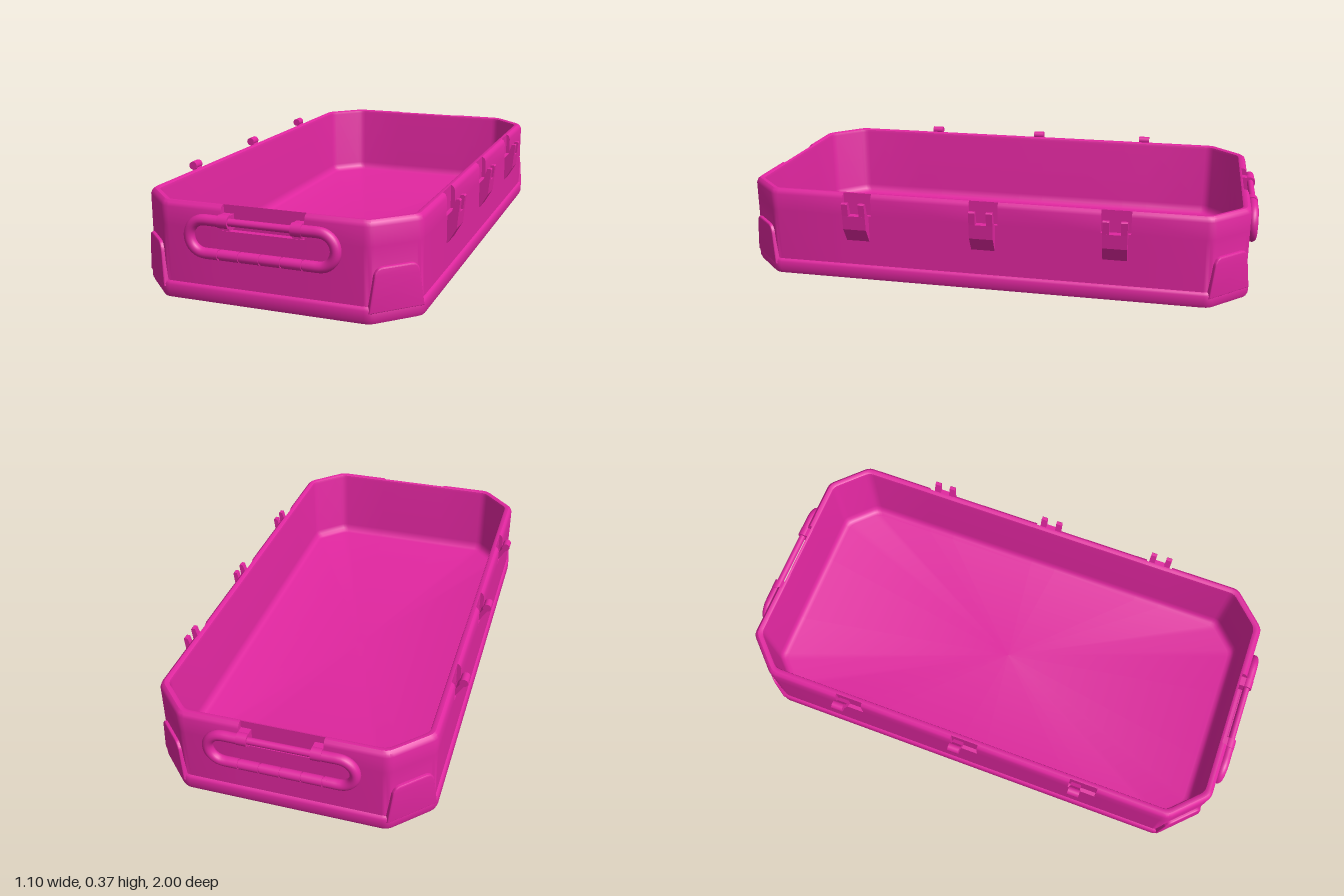
import * as THREE from 'three';
import { toCreasedNormals } from 'three/addons/utils/BufferGeometryUtils.js';

const mat = new THREE.MeshStandardMaterial({ color: 0xe0269f });
const HALF_X = 0.505, HALF_Z = 0.965, CHAMFER = 0.135;
const LATCH_Z = [0.49, 0, -0.49];

function add(parent, name, geo, x = 0, y = 0, z = 0) {
  const m = new THREE.Mesh(geo, mat);
  m.name = name;
  m.position.set(x, y, z);
  parent.add(m);
  return m;
}

// Octagon outline (counter-clockwise from above), with shallow pockets for handles and latches
function outline(inset, pocket) {
  const a = HALF_X - inset, b = HALF_Z - inset, c = CHAMFER - inset * 0.586;
  const px = pocket ? Math.min(a, 0.49) : a;
  const pz = pocket ? Math.min(b, 0.942) : b;
  const half = [];
  const corner = (x, z, dx0, dz0, dx1, dz1) => {
    const r = 0.02;
    const curve = new THREE.QuadraticBezierCurve(
      new THREE.Vector2(x - dx0 * r, z - dz0 * r), new THREE.Vector2(x, z),
      new THREE.Vector2(x + dx1 * r, z + dz1 * r));
    for (const p of curve.getPoints(3)) half.push([p.x, p.y]);
  };
  const s = Math.SQRT1_2;
  for (const z of LATCH_Z)
    half.push([a, z + 0.055], [px, z + 0.055], [px, z - 0.055], [a, z - 0.055]);
  corner(a, c - b, 0, -1, -s, -s);
  corner(a - c, -b, -s, -s, -1, 0);
  half.push([0.15, -b], [0.15, -pz], [-0.15, -pz], [-0.15, -b]);
  // the next corner pair closes the half turn
  corner(c - a, -b, -1, 0, -s, s);
  corner(-a, c - b, -s, s, 0, 1);
  const other = half.map(([x, z]) => [-x, -z]);
  return [...half, ...other];
}

// Skin rings of [inset, y, pocket], closing both ends
function loft(profile) {
  const pos = [], idx = [];
  let n = 0;
  for (const [inset, y, pocket] of profile) {
    const ring = outline(inset, pocket);
    n = ring.length;
    for (const [x, z] of ring) pos.push(x, y, z);
  }
  const last = profile.length - 1, c0 = pos.length / 3;
  pos.push(0, profile[0][1], 0, 0, profile[last][1], 0);
  for (let i = 0; i < n; i++) {
    const k = (i + 1) % n;
    for (let j = 0; j < last; j++) {
      const p = j * n, q = p + n;
      idx.push(p + i, p + k, q + i, p + k, q + k, q + i);
    }
    idx.push(c0, k, i, c0 + 1, last * n + i, last * n + k);
  }
  const g = new THREE.BufferGeometry();
  g.setAttribute('position', new THREE.Float32BufferAttribute(pos, 3));
  g.setIndex(idx);
  return toCreasedNormals(g, 0.6);
}

// Cylinder along x or z
function rod(r, len, axis = 'x') {
  const g = new THREE.CylinderGeometry(r, r, len, 20);
  return axis === 'x' ? g.rotateZ(Math.PI / 2) : g.rotateX(Math.PI / 2);
}

// Side profile in x/y, extruded to a width centred on z
function slab(points, width) {
  const shape = new THREE.Shape(points.map(([x, y]) => new THREE.Vector2(x, y)));
  return new THREE.ExtrudeGeometry(shape, { depth: width, bevelEnabled: false }).translate(0, 0, -width / 2);
}

function bumperGeometry() {
  const w = 0.094, t = 0.074, y0 = 0.05, y1 = 0.192;
  const s = new THREE.Shape();
  s.moveTo(-w, y0);
  s.lineTo(w, y0);
  s.lineTo(t + 0.003, y1 - 0.03);
  s.quadraticCurveTo(t, y1, t - 0.025, y1);
  s.lineTo(0.025 - t, y1);
  s.quadraticCurveTo(-t, y1, -t - 0.003, y1 - 0.03);
  s.closePath();
  const g = new THREE.ExtrudeGeometry(s, {
    depth: 0.016, bevelThickness: 0.006, bevelSize: 0.006, bevelSegments: 3, curveSegments: 6,
  });
  return toCreasedNormals(g.translate(0, 0, -0.01), 0.6);
}

function makeHandle() {
  const h = new THREE.Group();
  h.name = 'handle';
  const top = 0.301, low = 0.185, z = 0.979, r = (top - low) / 2;
  for (const s of [-1, 1]) {
    // rounded end of the grip loop
    const pts = [new THREE.Vector3(s * 0.13, top, z), new THREE.Vector3(s * 0.17, top, z)];
    for (let i = 0; i <= 10; i++) {
      const a = Math.PI / 2 - (i / 10) * Math.PI;
      pts.push(new THREE.Vector3(s * (0.205 + r * Math.cos(a)), (top + low) / 2 + r * Math.sin(a), z));
    }
    pts.push(new THREE.Vector3(s * 0.18, low, z), new THREE.Vector3(s * 0.16, low, z));
    add(h, 'handleEnd', new THREE.TubeGeometry(new THREE.CatmullRomCurve3(pts), 40, 0.019, 14));
    add(h, 'handleCollar', rod(0.019, 0.012), s * 0.16, low, z);
    // clip joining the loop to the wall pocket
    add(h, 'handleClip', rod(0.023, 0.037), s * 0.131, top, z - 0.003);
    add(h, 'handleBracket', new THREE.BoxGeometry(0.037, 0.05, 0.045), s * 0.131, 0.296, 0.957);
  }
  add(h, 'handlePin', rod(0.013, 0.26), 0, top, z);
  add(h, 'handleCore', rod(0.015, 0.32), 0, low, z);
  for (let i = 0; i < 4; i++)
    add(h, 'gripSegment', rod(0.0185, 0.07), (i - 1.5) * 0.0755, low, z);
  return h;
}

function makeLatch(z) {
  const l = new THREE.Group();
  l.name = 'latch';
  l.position.z = z;
  add(l, 'latchBlock', slab([[0.49, 0.165], [0.508, 0.165], [0.54, 0.22], [0.545, 0.275], [0.518, 0.275], [0.49, 0.25]], 0.09));
  for (const s of [-1, 1])
    add(l, 'latchProng', slab([[0.512, 0.25], [0.542, 0.25], [0.55, 0.322], [0.546, 0.326], [0.534, 0.325]], 0.024), 0, 0, s * 0.033);
  return l;
}

function makeHook(z) {
  const k = new THREE.Group();
  k.name = 'hook';
  k.position.z = z - 0.027;
  add(k, 'hookArm', slab([[-0.485, 0.27], [-0.485, 0.305], [-0.505, 0.318], [-0.526, 0.352], [-0.541, 0.342], [-0.505, 0.285]], 0.04));
  add(k, 'hookBar', rod(0.016, 0.045, 'z'), -0.533, 0.349, 0);
  return k;
}

export function createModel() {
  const model = new THREE.Group();
  model.name = 'openCase';

  // Tray: base band, wall, rounded rim, inner wall and floor
  add(model, 'tray', loft([
    [0.014, 0], [-0.004, 0.008], [-0.01, 0.022], [-0.01, 0.054], [-0.006, 0.062], [0, 0.066],
    [0, 0.265], [0, 0.265, true], [0, 0.33, true], [0.005, 0.343, true], [0.014, 0.35, true],
    [0.024, 0.35, true], [0.031, 0.346], [0.034, 0.336],
    [0.037, 0.075], [0.042, 0.055], [0.052, 0.044], [0.066, 0.04],
  ]));

  // Corner bumpers on the four chamfered faces
  const bumper = bumperGeometry();
  for (const sx of [-1, 1]) for (const sz of [-1, 1]) {
    const m = add(model, 'cornerBumper', bumper, sx * (HALF_X - CHAMFER / 2), 0, sz * (HALF_Z - CHAMFER / 2));
    m.rotation.y = Math.atan2(sx, sz);
  }

  // Handles front and back
  for (const turn of [0, Math.PI]) {
    const h = makeHandle();
    h.rotation.y = turn;
    model.add(h);
  }

  // Latches on the left side, hinge hooks on the right
  for (const z of LATCH_Z) model.add(makeLatch(z), makeHook(z));
  return model;
}
